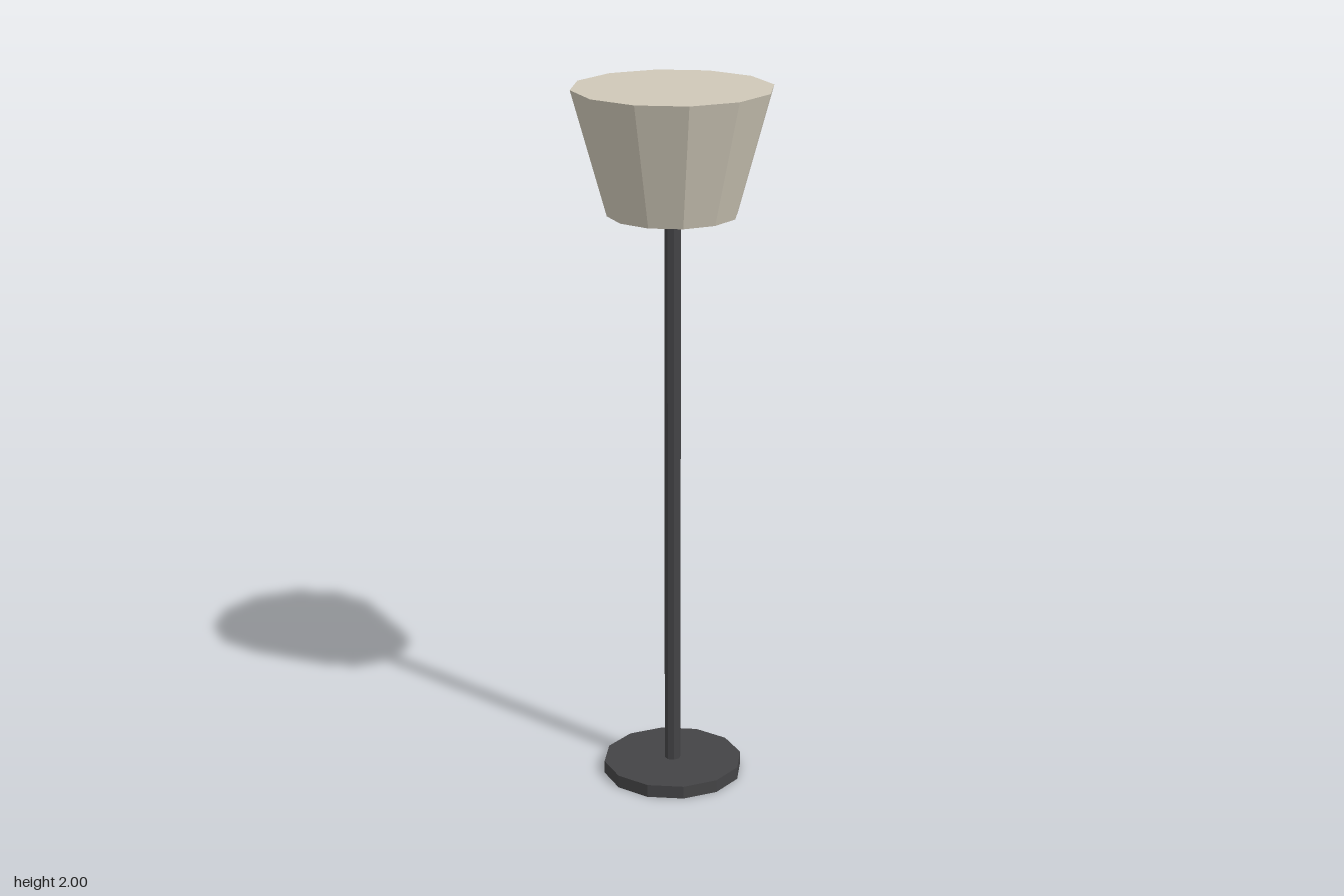
import * as THREE from 'three';

export function createModel() {
  const lamp = new THREE.Group();
  lamp.name = 'floorLamp';
  const metal = new THREE.MeshStandardMaterial({ color: 0x444446, flatShading: true });
  const fabric = new THREE.MeshStandardMaterial({ color: 0xcfc8b8, flatShading: true });

  // Upright faceted cylinder between two heights
  function addTier(name, rTop, rBottom, y0, y1, sides, material) {
    const mesh = new THREE.Mesh(new THREE.CylinderGeometry(rTop, rBottom, y1 - y0, sides), material);
    mesh.name = name;
    mesh.position.y = (y0 + y1) / 2;
    lamp.add(mesh);
  }

  addTier('base', 0.2, 0.2, 0, 0.037, 12, metal);
  addTier('pole', 0.023, 0.023, 0.037, 1.67, 8, metal);
  // Closed shade, wider at the top
  addTier('shade', 0.276, 0.18, 1.655, 2, 12, fabric);

  return lamp;
}
